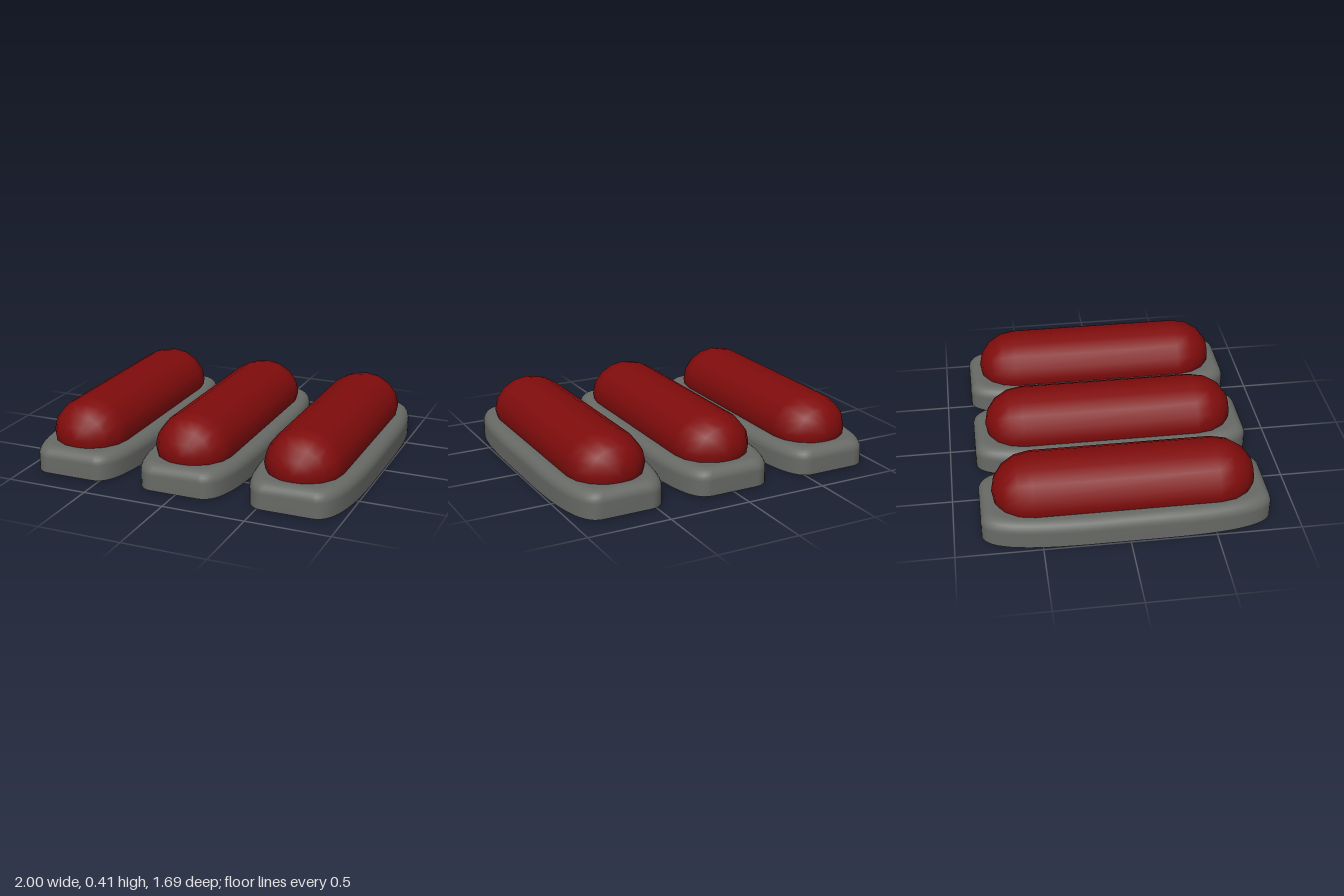
import * as THREE from 'three';

const HALF_W = 0.315, HALF_L = 0.843;

// Plan outline of a base: one soft corner mirrored into four
function baseOutline() {
  const corner = new THREE.CubicBezierCurve(
    new THREE.Vector2(HALF_W, 0.25), new THREE.Vector2(0.311, 0.61),
    new THREE.Vector2(0.275, HALF_L), new THREE.Vector2(0.15, HALF_L)
  ).getPoints(14);
  const mirror = (sx, sz) => corner.map(p => [p.x * sx, p.y * sz]);
  return [...mirror(1, 1), ...mirror(-1, 1).reverse(), ...mirror(-1, -1), ...mirror(1, -1).reverse()];
}

// Base: stacked outlines, flat below and rounded over at the top
function baseGeometry() {
  const bottom = 0.007, top = 0.165, round = 0.065;
  const outline = baseOutline(), n = outline.length;
  const levels = [[bottom, 0]];
  for (let i = 0; i <= 6; i++) {
    const a = (i / 6) * Math.PI / 2;
    levels.push([top - round + round * Math.sin(a), round * (1 - Math.cos(a))]);
  }
  const pos = [], idx = [];
  const addRing = (y, inset) => {
    for (const [x, z] of outline) pos.push(x * (1 - inset / HALF_W), y, z * (1 - inset / HALF_L));
  };
  levels.forEach(([y, inset]) => addRing(y, inset));
  for (let l = 0; l < levels.length - 1; l++) {
    for (let i = 0; i < n; i++) {
      const a = l * n + i, b = l * n + (i + 1) % n;
      idx.push(a, a + n, b, b, a + n, b + n);
    }
  }
  // Top cap shares its ring; the underside has its own for a sharp edge
  const topRing = (levels.length - 1) * n, underRing = levels.length * n;
  addRing(bottom, 0);
  const topCentre = underRing + n, underCentre = topCentre + 1;
  pos.push(0, top, 0, 0, bottom, 0);
  for (let i = 0; i < n; i++) {
    const j = (i + 1) % n;
    idx.push(topCentre, topRing + j, topRing + i);
    idx.push(underCentre, underRing + i, underRing + j);
  }
  const geo = new THREE.BufferGeometry();
  geo.setAttribute('position', new THREE.Float32BufferAttribute(pos, 3));
  geo.setIndex(idx);
  geo.computeVertexNormals();
  return geo;
}

export function createModel() {
  const grey = new THREE.MeshStandardMaterial({ color: 0x686a66 });
  grey.name = 'grey housing';
  const red = new THREE.MeshStandardMaterial({ color: 0x800c0c });
  red.name = 'dark red lens';

  const base = baseGeometry();
  // Lens: lying capsule, slightly flattened
  const lens = new THREE.CapsuleGeometry(0.237, 1.066, 4, 16);
  lens.rotateX(Math.PI / 2);
  lens.scale(1, 0.205 / 0.237, 1);
  lens.translate(0, 0.205, 0);

  const model = new THREE.Group();
  model.name = 'lightRow';
  ['rightLight', 'middleLight', 'leftLight'].forEach((name, i) => {
    const light = new THREE.Group();
    light.name = name;
    const baseMesh = new THREE.Mesh(base, grey);
    baseMesh.name = 'base';
    const lensMesh = new THREE.Mesh(lens, red);
    lensMesh.name = 'lens';
    light.add(baseMesh, lensMesh);
    light.position.x = (i - 1) * 0.685;
    model.add(light);
  });
  return model;
}
